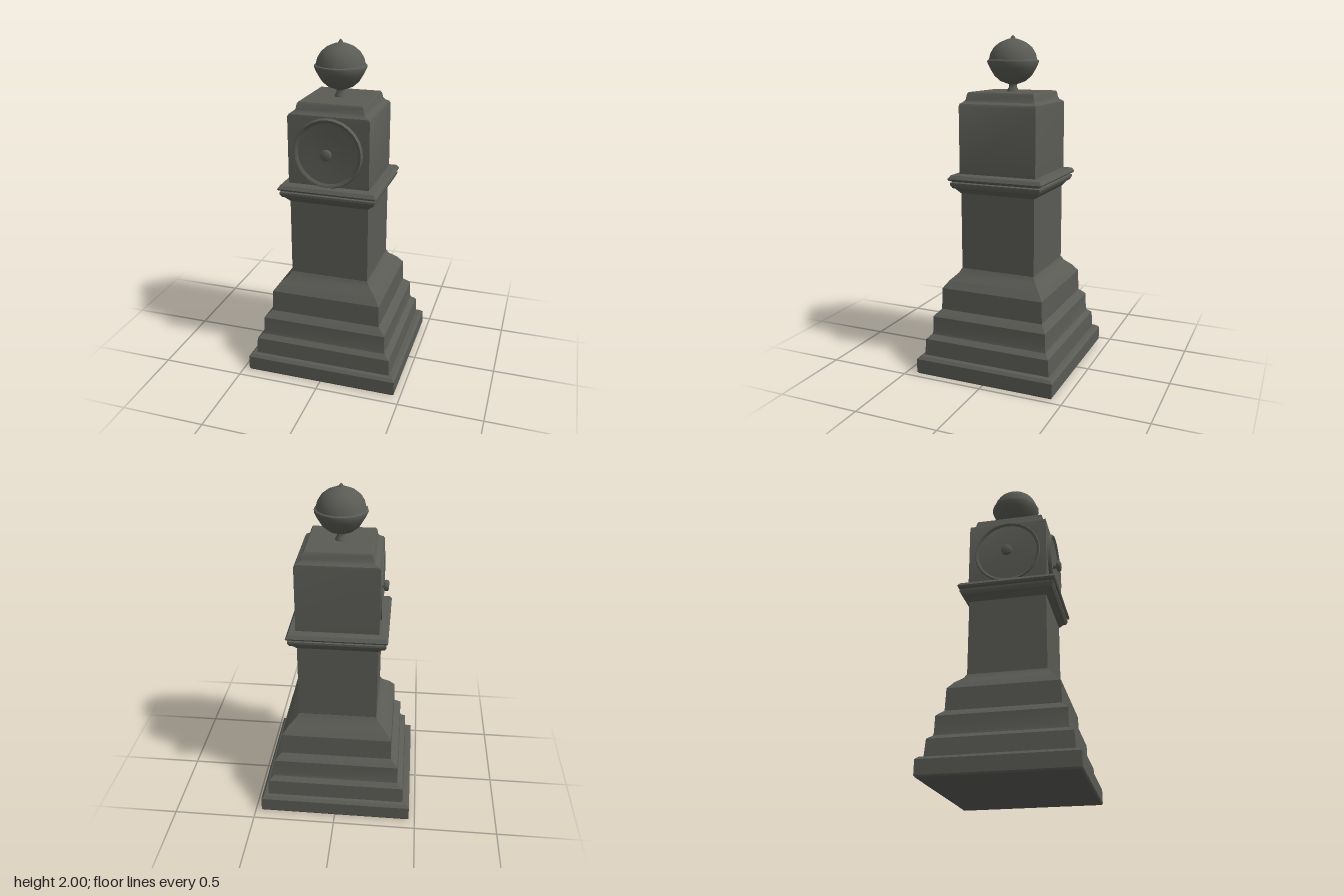
import * as THREE from 'three';
import { toCreasedNormals } from 'three/addons/utils/BufferGeometryUtils.js';

const stone = new THREE.MeshStandardMaterial({ color: 0x5a5b55 });
stone.name = 'dark stone';

function part(name, geometry, crease = 0.5) {
  const mesh = new THREE.Mesh(toCreasedNormals(geometry, crease), stone);
  mesh.name = name;
  return mesh;
}

// Stack of rectangular sections, each [y, half width, half depth]
function rectLoft(sections) {
  const corners = [[1, 1], [1, -1], [-1, -1], [-1, 1]];
  const pos = [], index = [];
  sections.forEach(([y, hx, hz], s) => {
    corners.forEach(([sx, sz]) => pos.push(sx * hx, y, sz * hz));
    if (s === 0) return;
    for (let i = 0; i < 4; i++) {
      const j = (i + 1) % 4, lo = (s - 1) * 4, hi = s * 4;
      index.push(lo + i, lo + j, hi + j, lo + i, hi + j, hi + i);
    }
  });
  const t = (sections.length - 1) * 4;
  index.push(0, 2, 1, 0, 3, 2, t, t + 1, t + 2, t, t + 2, t + 3);
  const g = new THREE.BufferGeometry();
  g.setAttribute('position', new THREE.Float32BufferAttribute(pos, 3));
  g.setIndex(index);
  g.computeVertexNormals();
  return g;
}

function lathe(points, segments) {
  return new THREE.LatheGeometry(points.map(([r, y]) => new THREE.Vector2(r, y)), segments);
}

// Shallow dished dial with raised rim and a central knob, facing +z
function makeDial(name) {
  const dial = new THREE.Group();
  dial.name = name;
  const face = lathe([[0.205, 0.22], [0.203, 0.25], [0.197, 0.26], [0.188, 0.258],
    [0.178, 0.248], [0.1, 0.242], [0, 0.24]], 28);
  const knob = lathe([[0.012, 0.235], [0.012, 0.262], [0.03, 0.264], [0.033, 0.272],
    [0.031, 0.286], [0.022, 0.291], [0, 0.292]], 12);
  for (const [n, g] of [['dialFace', face], ['dialKnob', knob]]) {
    g.rotateX(Math.PI / 2);
    dial.add(part(n, g, 0.7));
  }
  dial.position.y = 1.4;
  return dial;
}

export function createModel() {
  const model = new THREE.Group();
  model.name = 'clockTower';

  // Stepped base
  model.add(part('steppedBase', rectLoft([
    [0, 0.455, 0.425], [0.01, 0.462, 0.432], [0.092, 0.462, 0.432], [0.108, 0.447, 0.417],
    [0.112, 0.422, 0.397], [0.21, 0.416, 0.391], [0.235, 0.385, 0.365],
    [0.25, 0.381, 0.361], [0.345, 0.379, 0.359], [0.365, 0.36, 0.342],
    [0.385, 0.336, 0.322], [0.515, 0.332, 0.318], [0.55, 0.305, 0.293],
    [0.56, 0.298, 0.285], [0.6, 0.252, 0.245], [0.625, 0.238, 0.233],
  ])));

  // Shaft
  model.add(part('shaft', rectLoft([[0.62, 0.236, 0.231], [1.1, 0.236, 0.231]])));

  // Moulded cornice
  model.add(part('cornice', rectLoft([
    [1.085, 0.236, 0.231], [1.115, 0.262, 0.258], [1.12, 0.274, 0.27], [1.14, 0.284, 0.281],
    [1.152, 0.284, 0.281], [1.157, 0.272, 0.27], [1.165, 0.288, 0.288],
    [1.175, 0.293, 0.293], [1.195, 0.279, 0.279], [1.202, 0.24, 0.24],
  ])));

  // Clock housing with stepped cap
  model.add(part('clockHousing', rectLoft([
    [1.195, 0.24, 0.238], [1.595, 0.24, 0.238], [1.61, 0.232, 0.236],
    [1.622, 0.208, 0.221], [1.635, 0.199, 0.212], [1.665, 0.193, 0.207], [1.675, 0.186, 0.2],
  ])));

  // Dials on the front and on the right-hand side
  const frontDial = makeDial('frontDial');
  const sideDial = makeDial('sideDial');
  sideDial.rotation.y = -Math.PI / 2;
  sideDial.position.x = 0.012;
  model.add(frontDial, sideDial);

  // Ball finial with neck, rim and tip
  model.add(part('finialNeck', lathe([[0.036, 1.67], [0.033, 1.685], [0.023, 1.7],
    [0.024, 1.715], [0.04, 1.728]], 16), 0.8));
  model.add(part('finialBall', lathe([[0, 1.716], [0.035, 1.72], [0.075, 1.735], [0.11, 1.765],
    [0.137, 1.81], [0.153, 1.845], [0.151, 1.855], [0.142, 1.859], [0.134, 1.894], [0.112, 1.93],
    [0.08, 1.956], [0.04, 1.973], [0.015, 1.98], [0.008, 1.993], [0, 2]], 20), 0.7));
  return model;
}
